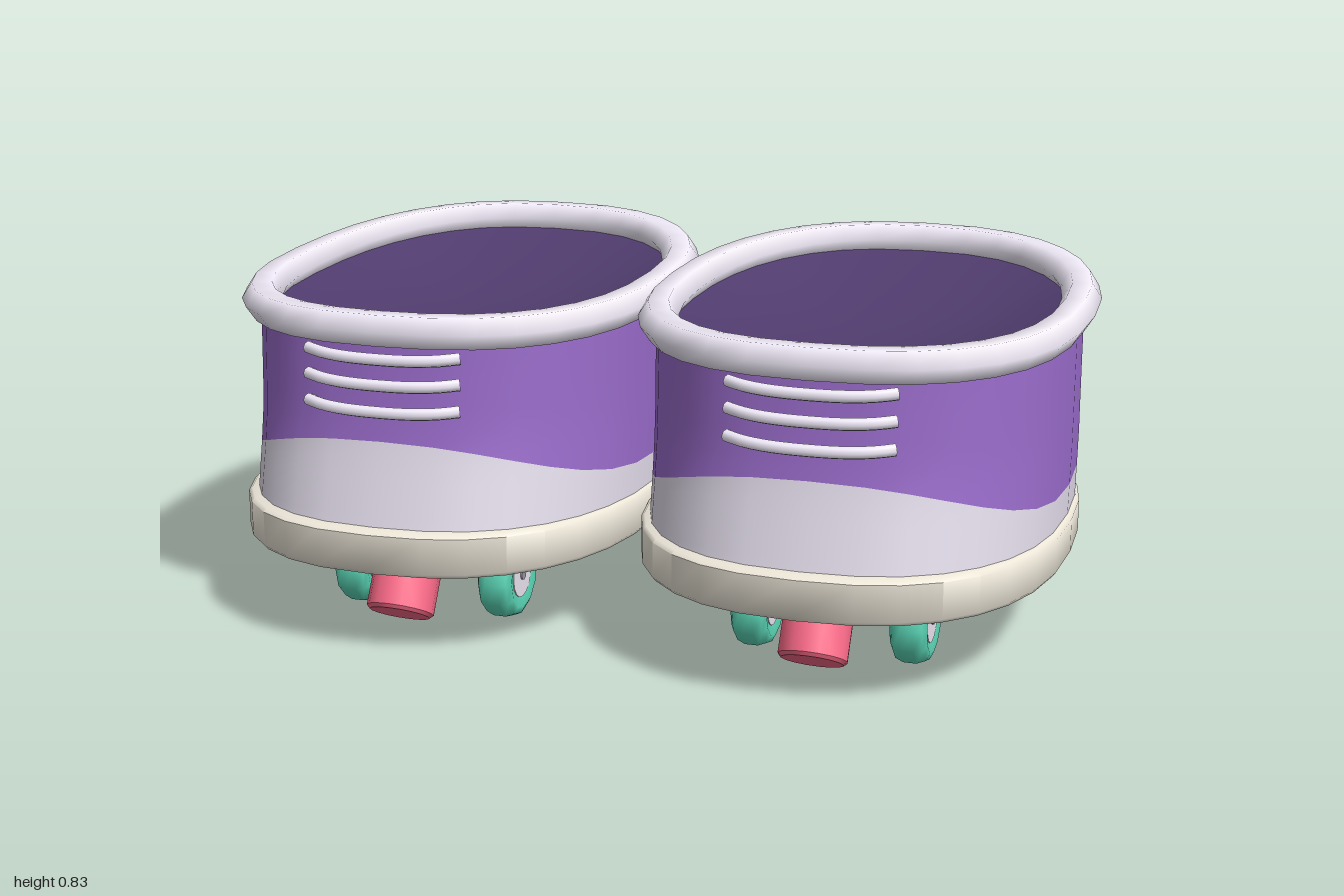
import * as THREE from 'three';
import { toCreasedNormals } from 'three/addons/utils/BufferGeometryUtils.js';

const mat = (color, side = THREE.FrontSide) => new THREE.MeshStandardMaterial({ color, side });
const SEG = 32;

function add(parent, name, geometry, material, x = 0, y = 0, z = 0) {
  const mesh = new THREE.Mesh(geometry, material);
  mesh.name = name;
  mesh.position.set(x, y, z);
  parent.add(mesh);
  return mesh;
}

// Squarish oval footprint: half width, front z, back z; angle 0 faces the toe
function oval(a, hw, zf, zb) {
  const soft = v => Math.sign(v) * Math.abs(v) ** 0.82;
  return [hw * soft(Math.sin(a)), (zf + zb) / 2 + (zf - zb) / 2 * soft(Math.cos(a))];
}

// Skin of closed rings; point(a, j) gives [x, y, z] at angle a on ring j
function loft(rings, point, closed = false) {
  const pos = [], index = [];
  for (let j = 0; j < rings; j++)
    for (let i = 0; i < SEG; i++) pos.push(...point(i / SEG * Math.PI * 2, j));
  for (let j = 0; j < (closed ? rings : rings - 1); j++)
    for (let i = 0; i < SEG; i++) {
      const n = (i + 1) % SEG, k = (j + 1) % rings;
      const a = j * SEG + i, b = j * SEG + n, c = k * SEG + i, d = k * SEG + n;
      index.push(a, b, d, a, d, c);
    }
  const g = new THREE.BufferGeometry();
  g.setAttribute('position', new THREE.Float32BufferAttribute(pos, 3));
  g.setIndex(index);
  g.computeVertexNormals();
  return g;
}

// Side profile of the boot: height, toe z, heel z
const PROFILE = [[0.28, 0.608, -0.615], [0.43, 0.567, -0.621], [0.5, 0.55, -0.606],
  [0.65, 0.537, -0.59], [0.85, 0.527, -0.59]];
function bootPoint(a, y) {
  let k = 0;
  while (k < PROFILE.length - 2 && y > PROFILE[k + 1][0]) k++;
  const [p, q] = [PROFILE[k], PROFILE[k + 1]];
  const t = (y - p[0]) / (q[0] - p[0]);
  const [x, z] = oval(a, 0.47, p[1] + (q[1] - p[1]) * t, p[2] + (q[2] - p[2]) * t);
  return [x, y, z];
}
const capLine = a => 0.36 + (Math.cos(a) > 0 ? 0.125 : 0.07) * Math.cos(a) ** 2;
const rimLine = a => 0.752 - 0.0275 * Math.cos(a) + 0.0155 * Math.cos(a) ** 2;

function createSkate() {
  const skate = new THREE.Group();
  const purple = mat(0x9a6ccb, THREE.DoubleSide), pale = mat(0xe2dcea, THREE.DoubleSide);
  const collarMat = mat(0xf2ecfa), dark = mat(0x3a3f48), metal = mat(0x9a9aa4);
  const pink = mat(0xfa6a88), teal = mat(0x5cd8b8), hubMat = mat(0xeee8f4);

  // Sole: underside, wall, bevel and ledge
  const soleRings = [[0, 0.2], [0.985, 0.2], [1, 0.21], [1, 0.286], [0.985, 0.293], [0.9, 0.293]];
  const sole = loft(soleRings.length, (a, j) => {
    const [s, y] = soleRings[j];
    const [x, z] = oval(a, 0.483 * s, 0.015 + 0.625 * s, 0.015 - 0.625 * s);
    return [x, y + (j > 2 ? 0.007 * Math.cos(a) : 0), z];
  });
  add(skate, 'sole', toCreasedNormals(sole, 0.9), mat(0xeee8da));

  // Boot: pale lower band and purple upper, meeting on the wavy cap line
  const band = (lo, hi) => loft(6, (a, j) => bootPoint(a, lo(a) + (hi(a) - lo(a)) * j / 5));
  add(skate, 'toeCapBand', band(() => 0.28, capLine), pale);
  add(skate, 'bootUpper', band(capLine, rimLine), purple);

  // Padded collar: flattened six-sided ring along the rim
  const collar = loft(6, (a, j) => {
    const t = j / 6 * Math.PI * 2, o = 0.045 * Math.cos(t);
    const [x, z] = oval(a, 0.463 + o, 0.54 + o, -0.594 - o);
    return [x, rimLine(a) + 0.041 * Math.sin(t), z];
  }, true);
  add(skate, 'collar', collar, collarMat);

  // Dark lining, dished inside the rim
  const lining = loft(7, (a, j) => {
    const s = 1 - j / 6;
    const [x, z] = oval(a, 0.45 * s, -0.03 + 0.55 * s, -0.03 - 0.55 * s);
    return [x, 0.645 + (rimLine(a) - 0.665) * s * s, z];
  });
  add(skate, 'lining', lining, mat(0x503c6e, THREE.DoubleSide));

  // Laces wrapped around the front, ends slightly raised
  for (const y of [0.555, 0.615, 0.673]) {
    const pts = [];
    for (let i = -4; i <= 4; i++) {
      const [x, h, z] = bootPoint(i / 4 * 0.325, y);
      pts.push(new THREE.Vector3(x, h + 0.008 * (i / 4) ** 2, z + 0.019 - 0.01 * (i / 4) ** 4));
    }
    add(skate, 'lace', new THREE.TubeGeometry(new THREE.CatmullRomCurve3(pts), 16, 0.014, 8), collarMat);
  }

  // Base plate with rounded corners
  const w = 0.155, f = 0.37, b = 0.45, r = 0.07;
  const plate = new THREE.Shape();
  plate.moveTo(-w + r, -f);
  plate.lineTo(w - r, -f).quadraticCurveTo(w, -f, w, -f + r);
  plate.lineTo(w, b - r).quadraticCurveTo(w, b, w - r, b);
  plate.lineTo(-w + r, b).quadraticCurveTo(-w, b, -w, b - r);
  plate.lineTo(-w, -f + r).quadraticCurveTo(-w, -f, -w + r, -f);
  const plateGeo = new THREE.ExtrudeGeometry(plate, {
    depth: 0.016, bevelSize: 0.01, bevelThickness: 0.01, bevelSegments: 2, curveSegments: 6 });
  plateGeo.rotateX(-Math.PI / 2);
  add(skate, 'basePlate', plateGeo, dark, 0, 0.177, 0);

  // Trucks, axles and wheels
  const tyre = new THREE.LatheGeometry([[0.05, -0.034], [0.08, -0.0425], [0.097, -0.034], [0.105, -0.015],
    [0.105, 0.015], [0.097, 0.034], [0.08, 0.0425], [0.05, 0.034]].map(p => new THREE.Vector2(...p)), 12);
  const rod = (radius, length, n) => new THREE.CylinderGeometry(radius, radius, length, n).rotateZ(Math.PI / 2);
  tyre.rotateZ(Math.PI / 2);
  for (const z of [0.267, -0.343]) {
    add(skate, 'truck', new THREE.BoxGeometry(0.15, 0.035, 0.09), dark, 0, 0.155, z);
    add(skate, 'truckHanger', new THREE.BoxGeometry(0.07, 0.05, 0.04), dark, 0, 0.122, z);
    add(skate, 'bushing', new THREE.CylinderGeometry(0.026, 0.026, 0.04, 12), pink, 0, 0.135, z + 0.035);
    add(skate, 'axle', rod(0.012, 0.36, 8), metal, 0, 0.105, z);
    for (const side of [-1, 1]) {
      const wheel = new THREE.Group();
      wheel.name = 'wheel';
      wheel.position.set(side * 0.183, 0.105, z);
      add(wheel, 'tyre', tyre, teal);
      add(wheel, 'hub', rod(0.055, 0.076, 16), hubMat);
      add(wheel, 'axleNut', rod(0.014, 0.084, 8), metal);
      skate.add(wheel);
    }
  }

  // Toe stop on a short slanted stem, leaning forward
  const stem = add(skate, 'stopStem', new THREE.BoxGeometry(0.07, 0.04, 0.12), dark, 0, 0.155, 0.385);
  stem.rotation.x = 0.12;
  const stopProfile = [[0, -0.055], [0.07, -0.055], [0.078, -0.047], [0.078, 0.047], [0.07, 0.055], [0, 0.055]];
  const stopGeo = new THREE.LatheGeometry(stopProfile.map(p => new THREE.Vector2(...p)), 16);
  const stop = add(skate, 'toeStop', toCreasedNormals(stopGeo, 0.6), pink, 0, 0.102, 0.451);
  stop.rotation.x = -Math.PI / 6;
  return skate;
}

export function createModel() {
  const model = new THREE.Group();
  model.name = 'rollerSkates';
  for (const [name, x] of [['leftSkate', 0.49], ['rightSkate', -0.49]]) {
    const skate = createSkate();
    skate.name = name;
    skate.position.x = x;
    model.add(skate);
  }
  return model;
}
